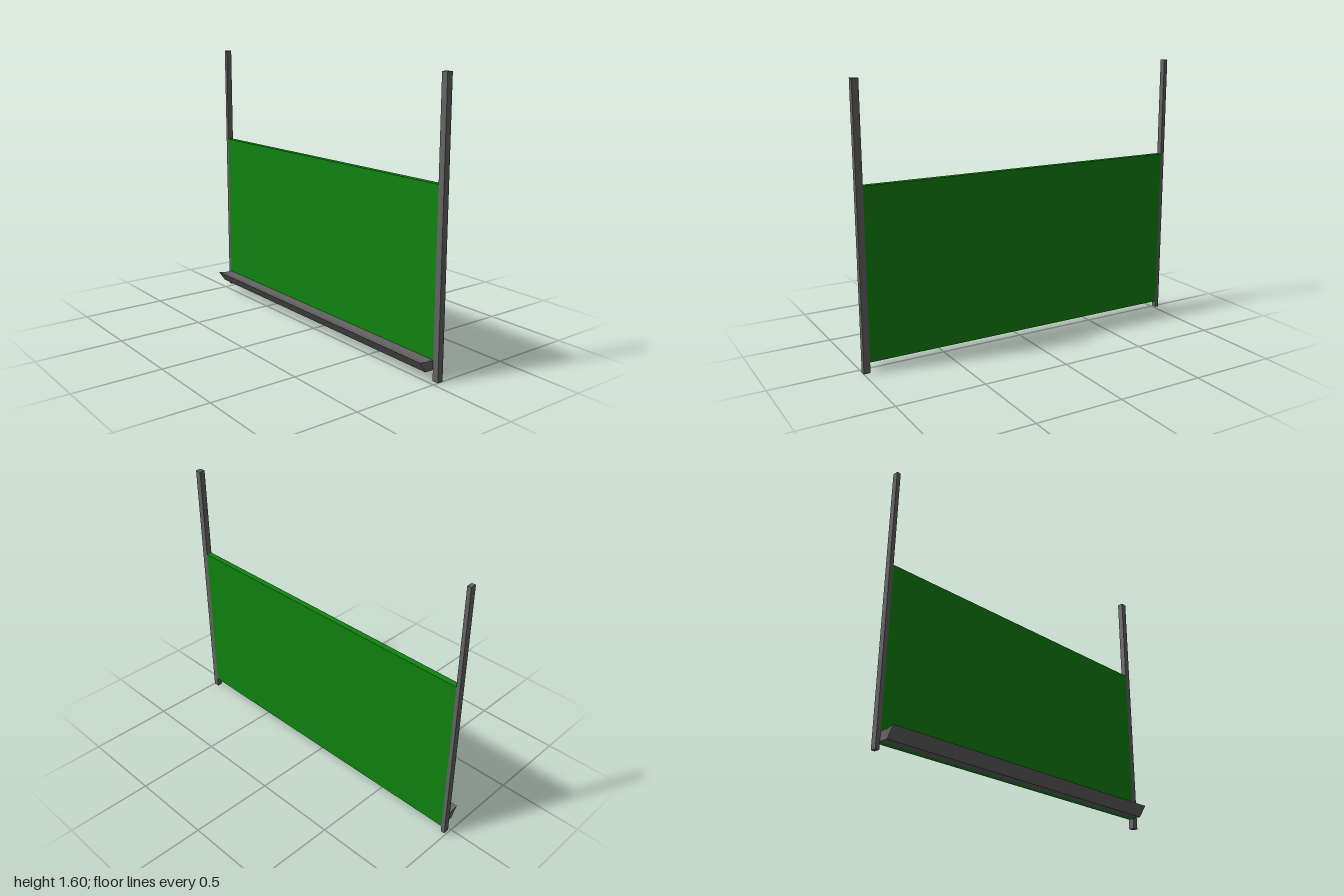
import * as THREE from 'three';

export function createModel() {
  const model = new THREE.Group();
  model.name = 'boardOnPosts';
  const grey = new THREE.MeshStandardMaterial({ color: 0x646464 });
  grey.name = 'postGrey';
  const green = new THREE.MeshStandardMaterial({ color: 0x0f840f });
  green.name = 'boardGreen';

  const back = -0.065, face = -0.031;  // shared depth of posts and board
  const left = 0.963, right = -0.977;  // side edges of the board

  // Box given by its x and y limits, as deep as the posts
  function slab(name, x0, x1, y0, y1, material) {
    const mesh = new THREE.Mesh(new THREE.BoxGeometry(x1 - x0, y1 - y0, face - back), material);
    mesh.position.set((x0 + x1) / 2, (y0 + y1) / 2, (face + back) / 2);
    mesh.name = name;
    model.add(mesh);
  }
  slab('rightPost', -1, right, 0.02, 1.595, grey);
  slab('leftPost', left, 1, 0, 1.565, grey);
  slab('board', right, left, 0.06, 1.02, green);

  // Ledge with a sloping front and a slightly raised lip, profile in (z, y)
  const profile = new THREE.Shape([
    [face, 0.06], [0.021, 0.06], [0.065, 0.122], [0.02, 0.113], [face, 0.113],
  ].map(([z, y]) => new THREE.Vector2(z, y)));
  const ledge = new THREE.Mesh(
    new THREE.ExtrudeGeometry(profile, { depth: left - right, bevelEnabled: false }), grey);
  ledge.rotation.y = -Math.PI / 2;
  ledge.position.x = left;
  ledge.name = 'ledge';
  model.add(ledge);

  return model;
}
